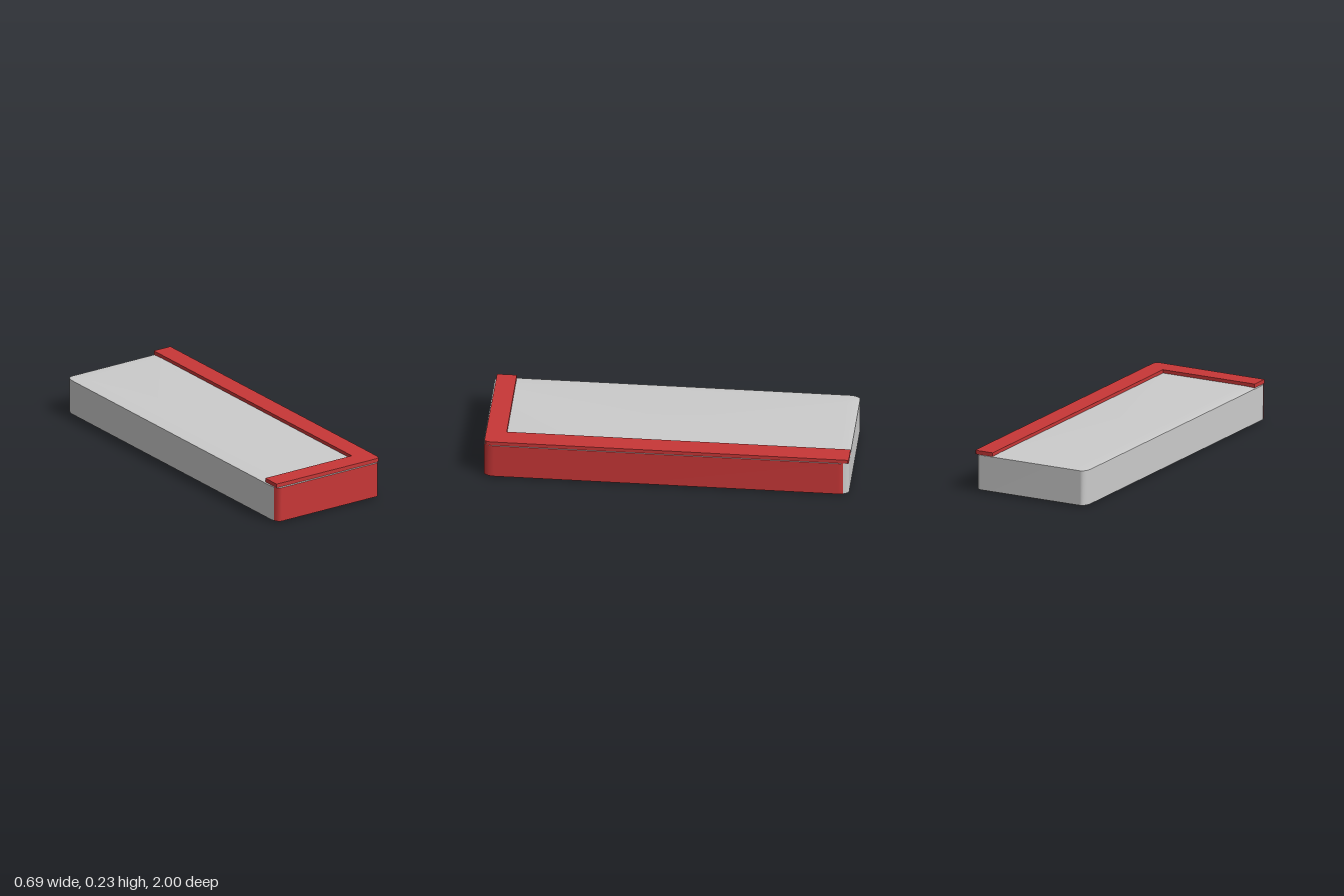
import * as THREE from 'three';

const HX = 0.347, HZ = 1;        // half width and half length
const RX = 0.035, RZ = 0.06;     // corner radii
const N = 6;                     // steps per corner
const COUNT = 4 * (N + 1);

// Rounded rectangle at height y, shrunk by inset (null = collapsed to the middle)
function ring(y, inset) {
  const sx = inset === null ? 0 : (HX - inset) / HX;
  const sz = inset === null ? 0 : (HZ - inset) / HZ;
  const points = [];
  const corners = [[1, -1], [1, 1], [-1, 1], [-1, -1]];
  corners.forEach(([cx, cz], k) => {
    for (let i = 0; i <= N; i++) {
      const a = (k - 1 + i / N) * Math.PI / 2;
      points.push([
        sx * (cx * (HX - RX) + RX * Math.cos(a)), y,
        sz * (cz * (HZ - RZ) + RZ * Math.sin(a)),
      ]);
    }
  });
  return points;
}

// Surface between stacked rings, over part of the outline
function loft(rings, from = 0, to = COUNT) {
  const position = [], index = [];
  const w = to - from + 1;
  rings.forEach((r) => {
    for (let i = from; i <= to; i++) position.push(...r[i % COUNT]);
  });
  for (let j = 0; j < rings.length - 1; j++) {
    for (let i = 0; i < w - 1; i++) {
      const a = j * w + i, b = a + 1, c = a + w, d = c + 1;
      index.push(a, c, b, b, c, d);
    }
  }
  const g = new THREE.BufferGeometry();
  g.setAttribute('position', new THREE.Float32BufferAttribute(position, 3));
  g.setIndex(index);
  g.computeVertexNormals();
  return g;
}

export function createModel() {
  const group = new THREE.Group();
  const grey = new THREE.MeshStandardMaterial({ color: 0xcccccc, side: THREE.DoubleSide });
  const red = new THREE.MeshStandardMaterial({ color: 0xc83737, side: THREE.DoubleSide });
  const add = (name, geometry, material) => {
    const mesh = new THREE.Mesh(geometry, material);
    mesh.name = name;
    group.add(mesh);
  };

  // Coloured sides run from the back right corner round to the front left one
  const start = N - 2, end = 2 * (N + 1) + 4;
  const floor = ring(0, 0.025), low = ring(0.01, 0), high = ring(0.206, 0);
  add('colouredWall', loft([low, high], start, end), red);
  add('colouredLowerBevel', loft([floor, low], start, end), red);
  add('plainWall', loft([low, high], end, start + COUNT), grey);
  add('plainLowerBevel', loft([floor, low], end, start + COUNT), grey);

  // Bottom and slightly domed top
  add('base', loft([ring(0, null), floor]), red);
  add('topPanel', loft([high, ring(0.209, 0.02), ring(0.211, 0.08), ring(0.212, null)]), grey);

  // Raised L-shaped trim along the front and left edges
  const outline = [
    [-0.34, 0.99], [0.325, 0.995], [0.339, 0.986], [0.345, 0.965],
    [0.345, -0.995], [0.34, -1], [0.235, -1], [0.235, 0.882],
    [-0.34, 0.882],
  ];
  const shape = new THREE.Shape(outline.map(([x, z]) => new THREE.Vector2(x, -z)));
  const trim = new THREE.ExtrudeGeometry(shape, { depth: 0.022, bevelEnabled: false });
  trim.rotateX(-Math.PI / 2);
  trim.translate(0, 0.208, 0);
  add('raisedTrim', trim, red);

  return group;
}
